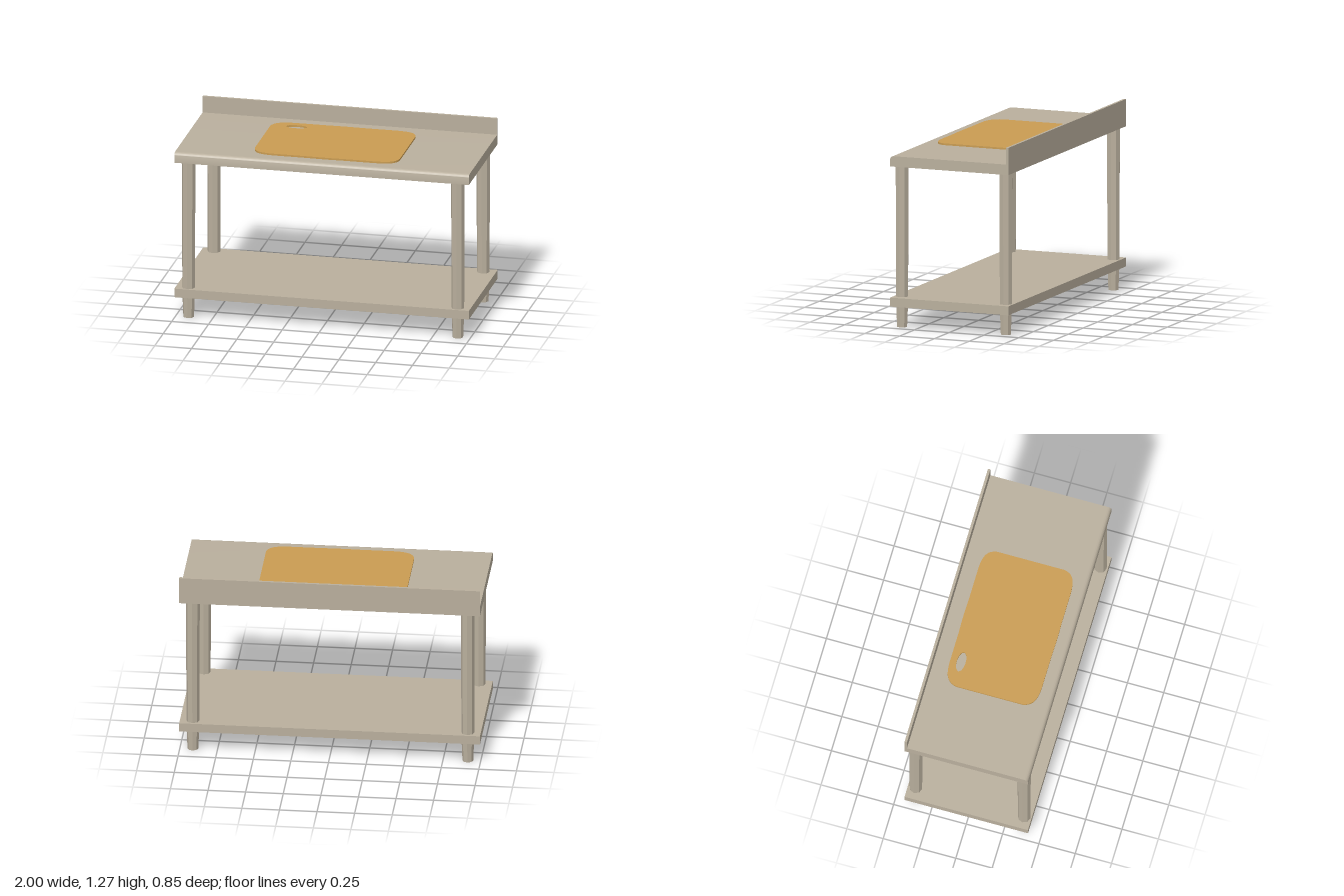
import * as THREE from 'three';
import { toCreasedNormals } from 'three/addons/utils/BufferGeometryUtils.js';

export function createModel() {
  const group = new THREE.Group();
  const steel = new THREE.MeshStandardMaterial({ color: 0xb9af9d });
  const legSteel = new THREE.MeshStandardMaterial({ color: 0xb9af9d, flatShading: true, side: THREE.DoubleSide });
  const wood = new THREE.MeshStandardMaterial({ color: 0xc99c52 });
  steel.name = 'warm grey steel';
  legSteel.name = 'warm grey leg steel';
  wood.name = 'honey wood';

  const add = (name, geometry, material, x = 0, y = 0, z = 0) => {
    const mesh = new THREE.Mesh(geometry, material);
    mesh.name = name;
    mesh.position.set(x, y, z);
    group.add(mesh);
    return mesh;
  };

  // Worktop with rounded front edge and upstand: side profile (z, y) swept along x
  const [front, bottom, top, r] = [0.425, 1.087, 1.157, 0.026];
  const profile = new THREE.Shape();
  profile.moveTo(-front, bottom);
  profile.lineTo(front, bottom);
  profile.lineTo(front, top - r);
  profile.absarc(front - r, top - r, r, 0, Math.PI / 2, false);
  profile.lineTo(-0.408, top);
  profile.lineTo(-0.408, 1.27);
  profile.lineTo(-front, 1.27);
  profile.closePath();
  const sweep = new THREE.ExtrudeGeometry(profile, { depth: 2, bevelEnabled: false, curveSegments: 8 });
  sweep.translate(0, 0, -1).rotateY(-Math.PI / 2).scale(1, 1, 1);
  // the turn sends profile x to +z and the sweep to x
  add('worktop', toCreasedNormals(sweep, 0.6), steel);

  // Lower shelf
  add('shelf', new THREE.BoxGeometry(2, 0.06, 0.85), steel, 0, 0.175, 0);

  // Four octagonal legs, narrowing into feet below the shelf
  const legProfile = [[0.036, 0], [0.042, 0.145], [0.043, 0.205], [0.046, 1.087]]
    .map(([x, y]) => new THREE.Vector2(x, y));
  const legGeometry = new THREE.LatheGeometry(legProfile, 8);
  for (const x of [-0.914, 0.914]) {
    for (const z of [-0.371, 0.374]) {
      add(z > 0 ? 'frontLeg' : 'backLeg', legGeometry, legSteel, x, 0, z);
    }
  }

  // Cutting board with soft corners, gently bowed long sides and an oval grip hole
  const board = new THREE.Shape();
  board.moveTo(-0.495, -0.23);
  board.bezierCurveTo(-0.48, -0.30, -0.43, -0.315, -0.35, -0.318);
  board.lineTo(-0.12, -0.318);
  board.quadraticCurveTo(0, -0.323, 0.12, -0.318);
  board.lineTo(0.35, -0.318);
  board.bezierCurveTo(0.43, -0.315, 0.48, -0.30, 0.49, -0.23);
  board.lineTo(0.49, 0.23);
  board.bezierCurveTo(0.48, 0.30, 0.43, 0.315, 0.35, 0.318);
  board.lineTo(0.12, 0.318);
  board.quadraticCurveTo(0, 0.323, -0.12, 0.318);
  board.lineTo(-0.35, 0.318);
  board.bezierCurveTo(-0.43, 0.315, -0.48, 0.30, -0.495, 0.23);
  board.closePath();
  const grip = new THREE.Path();
  grip.absellipse(-0.32, 0.245, 0.07, 0.03, 0, Math.PI * 2, true, 0);
  board.holes.push(grip);
  const boardGeometry = new THREE.ExtrudeGeometry(board, { depth: 0.012, bevelEnabled: false, curveSegments: 10 });
  boardGeometry.rotateX(-Math.PI / 2);
  add('cuttingBoard', toCreasedNormals(boardGeometry, 0.6), wood, 0, top + 0.001, 0.015);

  return group;
}
